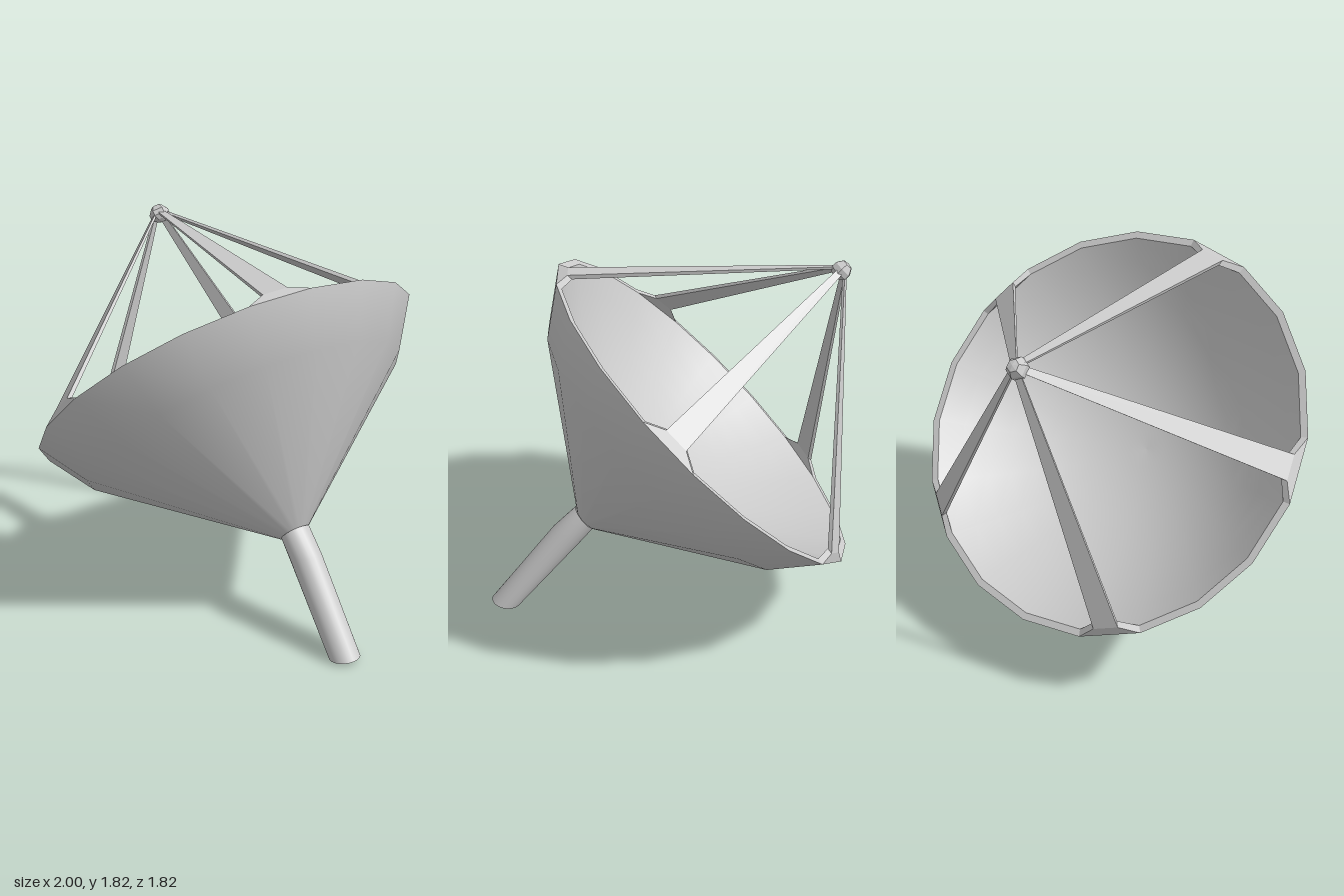
import * as THREE from 'three';

const grey = () => new THREE.MeshStandardMaterial({ color: 0xcccccc });
const thin = () => new THREE.MeshStandardMaterial({ color: 0xcccccc, side: THREE.DoubleSide });
const flat = () => new THREE.MeshStandardMaterial({ color: 0xcccccc, flatShading: true });
const v2 = (pairs) => pairs.map(([x, y]) => new THREE.Vector2(x, y));

// Skin a list of rings, ordered top to bottom, each turning from +x to +z.
function loft(rings) {
  const n = rings[0].length, idx = [];
  for (let r = 0; r < rings.length - 1; r++) {
    for (let i = 0; i < n; i++) {
      const a = r * n + i, b = r * n + ((i + 1) % n);
      idx.push(a, b, a + n, b, b + n, a + n);
    }
  }
  const g = new THREE.BufferGeometry();
  g.setAttribute('position', new THREE.Float32BufferAttribute(rings.flat(2), 3));
  g.setIndex(idx);
  g.computeVertexNormals();
  return g;
}

function add(parent, name, geometry, material) {
  const mesh = new THREE.Mesh(geometry, material);
  mesh.name = name;
  parent.add(mesh);
  return mesh;
}

export function createModel() {
  const model = new THREE.Group();
  model.name = 'dishAntenna';

  // Bent open tube: each ring is its centre (y, z) and its half depth direction (dy, dz)
  const poleRings = [
    [0.497, 0.413, 0.053, 0.045],
    [0.398, 0.51, 0.044, 0.066],
    [0.015, 0.838, 0.013, 0.073],
  ].map(([y, z, dy, dz]) => Array.from({ length: 20 }, (_, i) => {
    const t = (i / 20) * Math.PI * 2;
    return [0.077 * Math.cos(t), y + dy * Math.sin(t), z + dz * Math.sin(t)];
  }));
  add(model, 'pole', loft(poleRings), thin());

  // Dish assembly: local y is the dish axis, tilted up and back
  const dish = new THREE.Group();
  dish.name = 'dish';
  dish.position.set(0, 1.085, -0.2);
  dish.rotation.x = -Math.PI / 4;
  model.add(dish);

  // Conical back, flat rim and bowl
  const SIDES = 20, INNER = 0.965, DEPTH = 0.45;
  add(dish, 'dishBack', new THREE.LatheGeometry(
    v2([[0, -0.85], [0.072, -0.85], [0.84, -0.235], [1, 0]]), SIDES), grey());
  add(dish, 'dishRim', new THREE.LatheGeometry(v2([[1, 0], [INNER, 0]]), SIDES), grey());
  const bowl = [];
  for (let i = 0; i <= 10; i++) {
    const r = 1 - i / 10;
    bowl.push([r * INNER, -DEPTH * (1 - r * r)]);
  }
  add(dish, 'dishBowl', new THREE.LatheGeometry(v2(bowl), SIDES), grey());

  // Feed at the meeting point of the struts
  const feedY = 0.94, feedZ = 0.035;
  const feed = add(dish, 'feed', new THREE.LatheGeometry(
    v2([[0, -0.045], [0.03, -0.035], [0.051, -0.015], [0.051, 0.012], [0.03, 0.042], [0, 0.048]]),
    6), flat());
  feed.position.set(0, feedY, feedZ);

  // Five tapered struts, each growing from one side of the rim
  const section = (x, y, inner, outer, wIn, wOut) =>
    [[x + wIn, y, inner], [x + wOut, y, outer], [x - wOut, y, outer], [x - wIn, y, inner]];
  const half = Math.PI / SIDES, c = Math.cos(half), s = Math.sin(half);
  for (let i = 0; i < 5; i++) {
    const angle = -half + (i * 2 * Math.PI) / 5;
    const tipX = -Math.sin(angle) * feedZ, tipZ = Math.cos(angle) * feedZ;
    const strut = add(dish, 'strut' + (i + 1), loft([
      section(tipX, feedY, tipZ + 0.018, tipZ + 0.034, 0.014, 0.016),
      section(0, 0.043, 0.932, 0.962, 0.058, 0.062),
      section(0, 0, INNER * c, c, INNER * s, s),
    ]).toNonIndexed(), flat());
    strut.rotation.y = angle;
  }
  return model;
}
